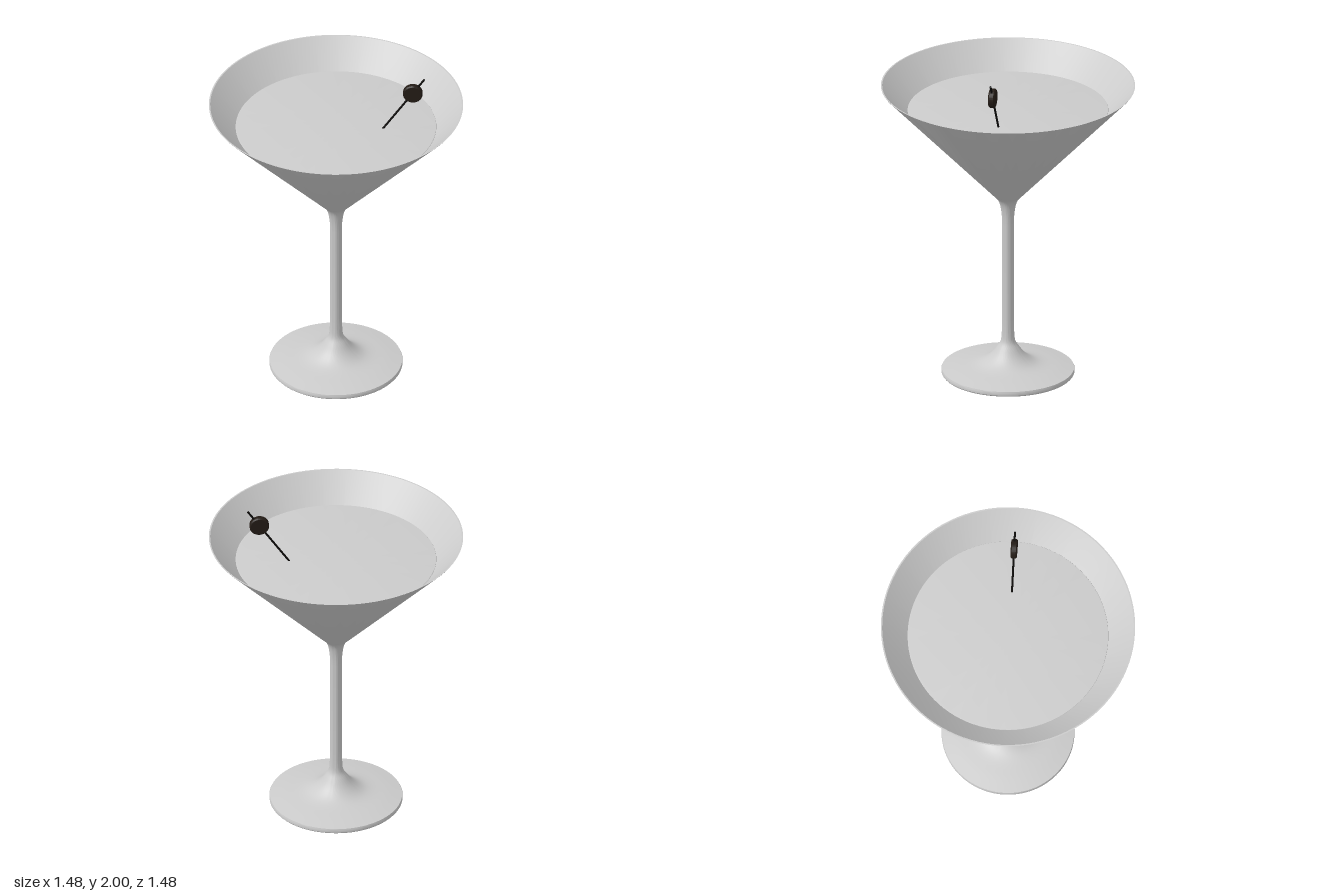
import * as THREE from 'three';
import { toCreasedNormals } from 'three/addons/utils/BufferGeometryUtils.js';

const material = (color) => new THREE.MeshStandardMaterial({ color });

// Smooth turned part from [radius, height] pairs, with sharp edges kept
function turned(name, points, mat) {
  const profile = points.map(([r, y]) => new THREE.Vector2(r, y));
  const geometry = toCreasedNormals(new THREE.LatheGeometry(profile, 96), 0.6);
  const mesh = new THREE.Mesh(geometry, mat);
  mesh.name = name;
  return mesh;
}

// Sampled smooth curve through [radius, height] pairs
function smooth(points, count) {
  const curve = new THREE.SplineCurve(points.map(([r, y]) => new THREE.Vector2(r, y)));
  return curve.getPoints(count).map((p) => [p.x, p.y]);
}

export function createModel() {
  const model = new THREE.Group();
  model.name = 'cocktailGlass';
  const grey = material(0xcccccc);

  // Foot, stem and hollow conical bowl in one profile
  const foot = smooth([[0.385, 0.03], [0.3, 0.045], [0.2, 0.06], [0.145, 0.08], [0.1, 0.115],
    [0.065, 0.16], [0.042, 0.2], [0.036, 0.26]], 28);
  const flare = smooth([[0.034, 0.93], [0.037, 0.99], [0.046, 1.05], [0.062, 1.088], [0.085, 1.113]], 14);
  model.add(turned('glass', [
    [0, 0], [0.382, 0], [0.387, 0.006], [0.388, 0.024], ...foot,
    [0.034, 0.34], ...flare,
    [0.738, 1.797], [0.74, 1.8], [0.732, 1.8], // rim
    [0.06, 1.105], [0, 1.09], // inside of the bowl
  ], grey));

  // Drink, with a narrow rounded edge
  model.add(turned('drink', [
    [0, 1.1], [0.05, 1.11], [0.57, 1.634], [0.586, 1.645], [0.583, 1.649], [0.575, 1.65], [0, 1.65],
  ], grey));

  // Cocktail stick leaning outwards from the bowl
  const bottom = new THREE.Vector3(0.01, 1.265, 0);
  const top = new THREE.Vector3(0.483, 1.997, -0.178);
  const along = top.clone().sub(bottom);
  const up = new THREE.Vector3(0, 1, 0);
  const stick = new THREE.Mesh(
    new THREE.CylinderGeometry(0.006, 0.006, along.length(), 12), material(0x0c0a08));
  stick.name = 'stick';
  stick.position.copy(bottom).add(top).multiplyScalar(0.5);
  stick.quaternion.setFromUnitVectors(up, along.clone().normalize());
  model.add(stick);

  // Round slice threaded on the stick, standing in its vertical plane
  const garnish = turned('garnish', [
    [0, -0.019], [0.05, -0.019], [0.057, -0.012], [0.057, 0.012], [0.05, 0.019], [0, 0.019],
  ], material(0x241c16));
  garnish.position.copy(bottom).addScaledVector(along, (1.9 - bottom.y) / along.y);
  garnish.quaternion.setFromUnitVectors(up, new THREE.Vector3(-along.z, 0, along.x).normalize());
  model.add(garnish);

  return model;
}
